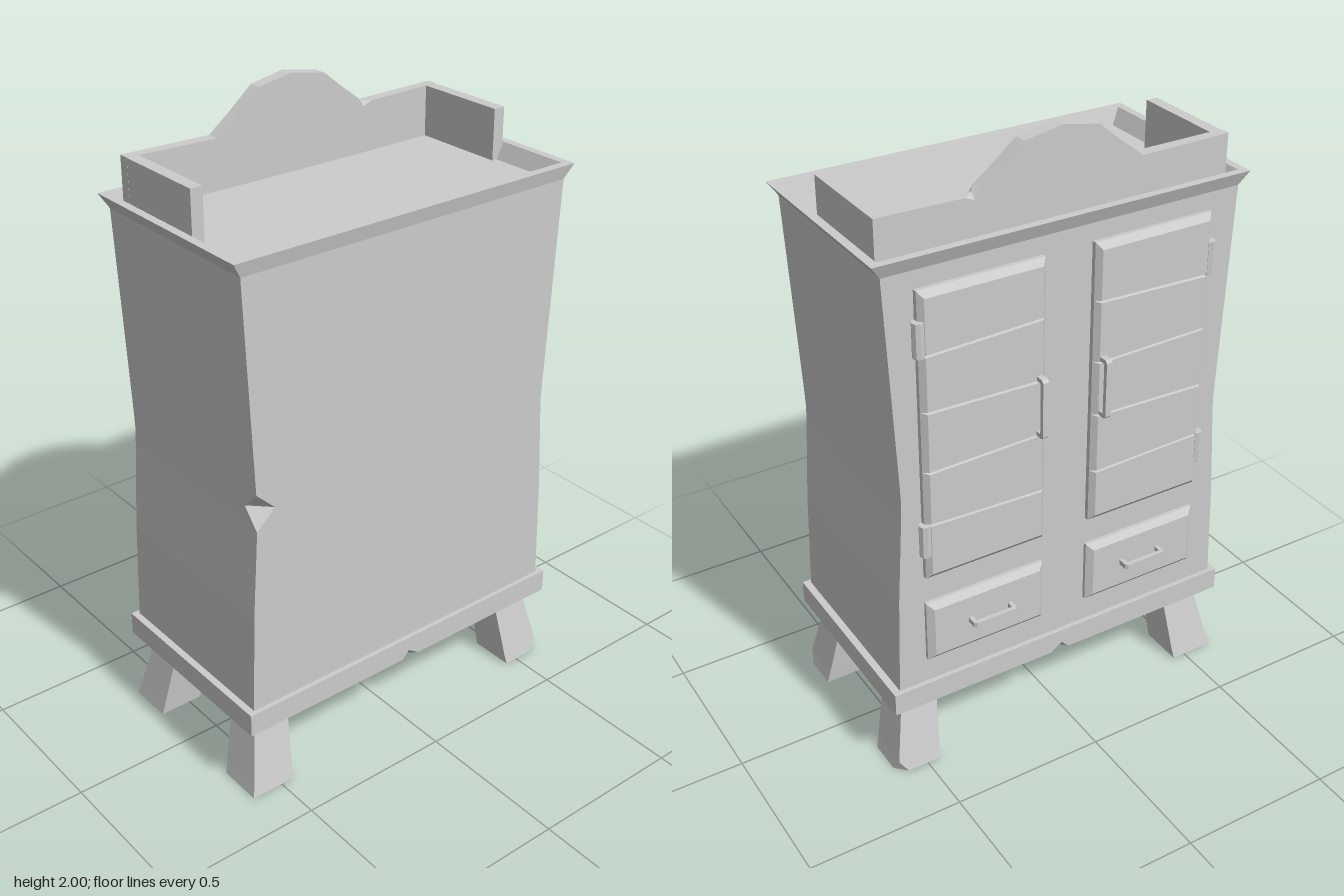
import * as THREE from 'three';

const material = new THREE.MeshStandardMaterial({ color: 0xcccccc, flatShading: true });

function addMesh(parent, name, geometry) {
  const mesh = new THREE.Mesh(geometry, material);
  mesh.name = name;
  parent.add(mesh);
  return mesh;
}

// Closed faceted solid through rings of [x, y, z] points, always wound outwards
function loft(rings) {
  const tris = [];
  const n = rings[0].length;
  const tri = (...pts) => tris.push(pts.map((p) => new THREE.Vector3(...p)));
  for (let i = 0; i < rings.length - 1; i++) {
    for (let j = 0; j < n; j++) {
      const k = (j + 1) % n;
      tri(rings[i][j], rings[i][k], rings[i + 1][k]);
      tri(rings[i][j], rings[i + 1][k], rings[i + 1][j]);
    }
  }
  const first = rings[0], last = rings[rings.length - 1];
  for (let j = 1; j < n - 1; j++) {
    tri(first[0], first[j + 1], first[j]);
    tri(last[0], last[j], last[j + 1]);
  }
  let volume = 0;
  const center = new THREE.Vector3(...first[0]);
  const solid = tris.filter(([a, b, c]) => {
    const u = b.clone().sub(a), v = c.clone().sub(a);
    const cross = u.cross(v);
    volume += a.clone().sub(center).dot(cross);
    return cross.length() > 1e-8;
  });
  if (volume < 0) solid.forEach((t) => t.reverse());
  const geometry = new THREE.BufferGeometry().setFromPoints(solid.flat());
  geometry.computeVertexNormals();
  return geometry;
}

// Level rectangle; its (x0, z0) corner is cut back by chip
const levelRing = (y, x0, x1, z0, z1, chip = 0) => [
  [x0 + Math.sign(x1 - x0) * chip, y, z0], [x1, y, z0], [x1, y, z1], [x0, y, z1],
  [x0, y, z0 + Math.sign(z1 - z0) * chip],
];

// Upright rectangle facing along z
const faceRing = (z, x0, x1, yL0, yR0, yL1, yR1) => [
  [x0, yL0, z], [x1, yR0, z], [x1, yR1, z], [x0, yL1, z],
];

// U-shaped pull with cut corners: length along x, projecting along +y
function pullGeometry(length, reach, thick, width) {
  const h = length / 2, c = 0.008;
  const shape = new THREE.Shape([
    [-h, 0], [-h, reach - c], [-h + c, reach], [h - c, reach], [h, reach - c], [h, 0],
    [h - thick, 0], [h - thick, reach - thick], [-h + thick, reach - thick], [-h + thick, 0],
  ].map(([x, y]) => new THREE.Vector2(x, y)));
  return new THREE.ExtrudeGeometry(shape, { depth: width, bevelEnabled: false })
    .translate(0, 0, -width / 2).rotateX(-Math.PI / 2);
}

// Door of five planks, two hinges and an upright pull
function addDoor(parent, side) {
  const door = new THREE.Group();
  door.name = side > 0 ? 'leftDoor' : 'rightDoor';
  parent.add(door);
  const x0 = 0.08, x1 = 0.485, bottom = 0.715, top = 1.65, count = 5;
  const tilt = [0, 0.006, -0.005, 0.004, -0.006, 0];
  const level = (i) => bottom + ((top - bottom) * i) / count;
  for (let i = 0; i < count; i++) {
    const lo = level(i), hi = level(i + 1);
    const gapLo = i === 0 ? 0.02 : 0.004, gapHi = i === count - 1 ? 0.02 : 0.004;
    const ring = (z, inset, gl, gh) => faceRing(z, side * (x0 + inset), side * (x1 - inset),
      lo - tilt[i] + gl, lo + tilt[i] + gl, hi - tilt[i + 1] - gh, hi + tilt[i + 1] - gh);
    addMesh(door, 'doorPlank', loft([
      ring(-0.28, 0, 0, 0), ring(-0.3, 0.002, 0, 0), ring(-0.317, 0.017, gapLo, gapHi),
    ]));
  }
  for (const y of [0.855, 1.508]) {
    addMesh(door, 'hinge', new THREE.CylinderGeometry(0.018, 0.018, 0.107, 8))
      .position.set(side * 0.483, y, -0.303);
  }
  const pull = addMesh(door, 'doorPull', pullGeometry(0.195, 0.038, 0.014, 0.02).rotateZ(Math.PI / 2));
  pull.position.set(side * 0.108, 1.195, -0.314);
}

// Bevelled drawer front with a level pull
function addDrawer(parent, side) {
  const drawer = new THREE.Group();
  drawer.name = side > 0 ? 'leftDrawer' : 'rightDrawer';
  parent.add(drawer);
  const ring = (z, i) => faceRing(z, side * (0.08 + i), side * (0.485 - i),
    0.41 + i, 0.41 + i, 0.62 - i, 0.62 - i);
  addMesh(drawer, 'drawerFront', loft([ring(-0.28, 0), ring(-0.298, 0), ring(-0.315, 0.02)]));
  addMesh(drawer, 'drawerPull', pullGeometry(0.15, 0.04, 0.014, 0.017))
    .position.set(side * 0.275, 0.517, -0.312);
}

export function createModel() {
  const model = new THREE.Group();
  model.name = 'cupboard';

  // Waisted body with a chipped edge: [y, half width, chip]
  addMesh(model, 'body', loft([
    [0.3, 0.583, 0], [0.65, 0.571, 0], [0.93, 0.553, 0], [0.99, 0.55, 0.06],
    [1.05, 0.552, 0], [1.4, 0.568, 0], [1.7, 0.582, 0],
  ].map(([y, w, chip]) => levelRing(y, -w - 0.004, w - 0.004, 0.34, -0.287, chip))));

  // Plinth with nicks in its lower edges: [x, chip]
  addMesh(model, 'plinth', loft([
    [-0.608, 0], [-0.02, 0], [0.005, 0.027], [0.045, 0], [0.602, 0],
  ].map(([x, c]) => [
    [x, 0.32, 0.355], [x, 0.32, -0.302], [x, 0.245 + c, -0.302],
    [x, 0.245, -0.302 + c], [x, 0.245, 0.355 - c], [x, 0.245 + c, 0.355],
  ])));

  // Splayed legs; the two on one side have a chipped foot
  for (const sx of [-1, 1]) {
    for (const sz of [-1, 1]) {
      const leg = (y, xo, xi, zo, zi, chip = 0) =>
        levelRing(y, sx * xo, sx * xi, sz * zo + 0.025, sz * zi + 0.025, chip);
      addMesh(model, 'leg', loft([
        leg(0, 0.604, 0.457, 0.326, 0.18, sx > 0 ? 0.036 : 0),
        leg(0.04, 0.595, 0.452, 0.316, 0.175),
        leg(0.25, 0.553, 0.432, 0.268, 0.15),
      ]));
    }
  }

  // Flared cornice with a sunken top
  addMesh(model, 'cornice', loft([
    levelRing(1.69, -0.586, 0.578, 0.34, -0.287),
    levelRing(1.705, -0.586, 0.578, 0.34, -0.287),
    levelRing(1.75, -0.612, 0.61, 0.35, -0.306),
    levelRing(1.75, -0.586, 0.583, 0.322, -0.28),
    levelRing(1.7, -0.556, 0.556, 0.306, -0.263),
  ]));

  // Gallery on top: arched board with a nick, and two end rails; [x, height, chip]
  addMesh(model, 'archedBoard', loft([
    [-0.556, 1.862, 0], [-0.26, 1.857, 0], [-0.185, 1.915, 0], [-0.11, 1.978, 0],
    [0.005, 2, 0], [0.128, 1.978, 0], [0.2, 1.92, 0], [0.26, 1.875, 0],
    [0.28, 1.862, 0.016], [0.31, 1.858, 0], [0.578, 1.862, 0],
  ].map(([x, h, c]) => {
    const z = -0.23 + 0.009 * (1 - (x / 0.58) ** 2);
    return [[x, 1.695, -0.262], [x, 1.695, z], [x, h - c, z],
      [x, h, z - c], [x, h, -0.262 + c], [x, h - c, -0.262]];
  })));
  for (const x of [-0.536, 0.558]) {
    addMesh(model, 'endRail', new THREE.BoxGeometry(0.039, 0.165, 0.33))
      .position.set(x, 1.7785, -0.085);
  }

  for (const side of [1, -1]) {
    addDoor(model, side);
    addDrawer(model, side);
  }
  return model;
}
